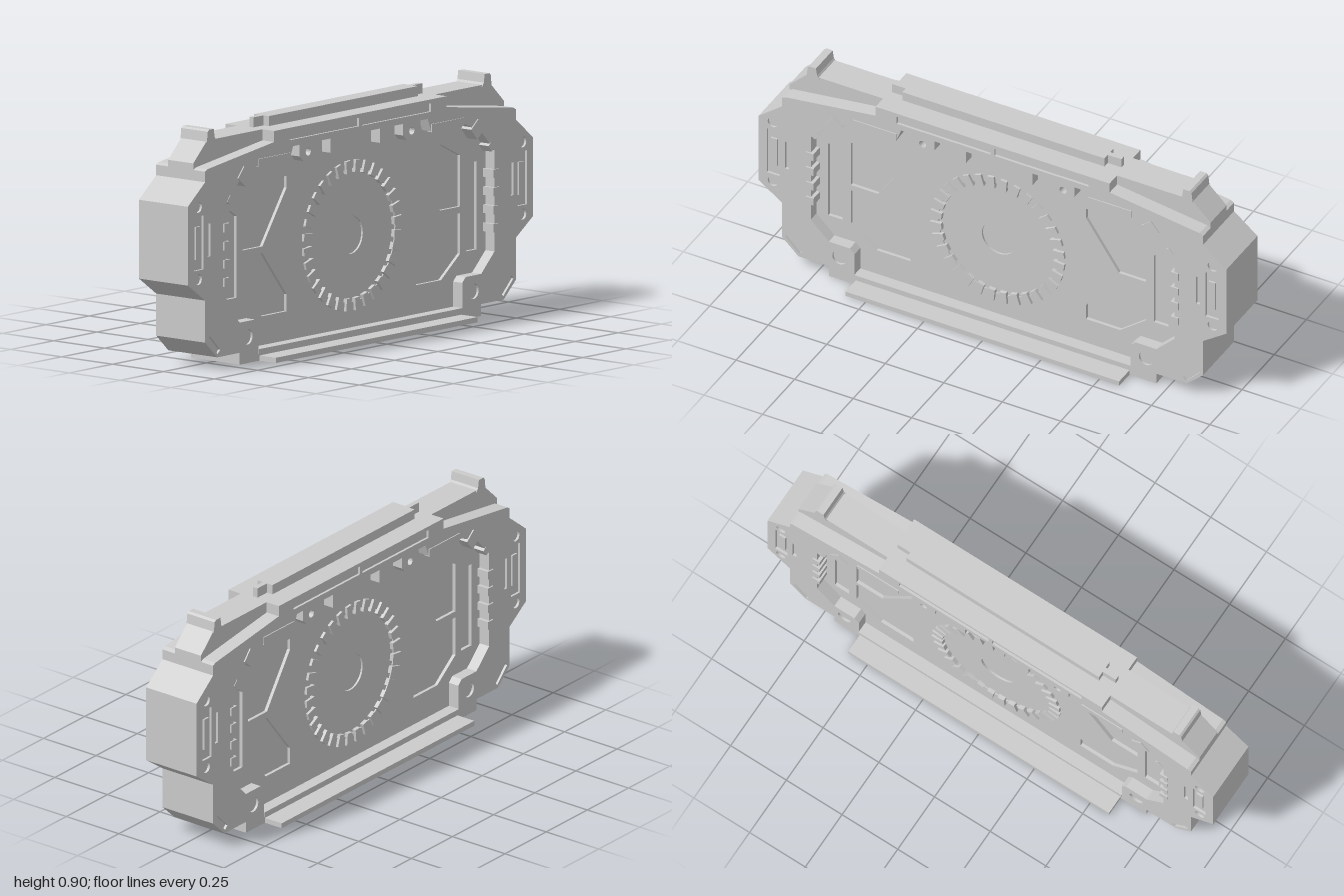
import * as THREE from 'three';

const grey = new THREE.MeshStandardMaterial({ color: 0xcccccc, flatShading: true });
const vec = (pts) => pts.map(([x, y]) => new THREE.Vector2(x, y));
const flip = (pts) => pts.map(([x, y]) => [-x, y]).reverse();
// closed outline from its right half, listed bottom to top
const mirrored = (half) => [...half, ...flip(half)];
const rect = (x0, y0, x1, y1) => [[x0, y0], [x1, y0], [x1, y1], [x0, y1]];
const ngon = (x, y, r, n = 24) => Array.from({ length: n }, (_, i) => {
  const a = (i / n) * Math.PI * 2;
  return [x + r * Math.cos(a), y + r * Math.sin(a)];
});
// rectangle turned about its centre
const turned = (x, y, w, h, a) => rect(-w / 2, -h / 2, w / 2, h / 2).map(([u, v]) =>
  [x + u * Math.cos(a) - v * Math.sin(a), y + u * Math.sin(a) + v * Math.cos(a)]);

function slab(name, outline, z0, z1, holes = []) {
  const shape = new THREE.Shape(vec(outline));
  shape.holes = holes.map((h) => new THREE.Path(vec(h)));
  const geo = new THREE.ExtrudeGeometry(shape, { depth: z1 - z0, bevelEnabled: false });
  geo.translate(0, 0, z0);
  const mesh = new THREE.Mesh(geo, grey);
  mesh.name = name;
  return mesh;
}

function box(name, x0, x1, y0, y1, z0, z1) {
  const mesh = new THREE.Mesh(new THREE.BoxGeometry(x1 - x0, y1 - y0, z1 - z0), grey);
  mesh.position.set((x0 + x1) / 2, (y0 + y1) / 2, (z0 + z1) / 2);
  mesh.name = name;
  return mesh;
}

const both = (list) => list.flatMap((h) => [h, flip(h)]);

// outer silhouette shared by the core and the faces
const side = [[0.70, 0], [0.70, 0.045], [0.83, 0.045], [0.90, 0.11], [0.90, 0.27],
  [1, 0.34], [1, 0.64], [0.90, 0.72]];
const coreOutline = mirrored([...side, [0.90, 0.785], [0.82, 0.862]]);
const faceOutline = mirrored([...side, [0.90, 0.76], [0.885, 0.768], [0.50, 0.82], [0.50, 0.862]]);
const opening = mirrored([[0.59, 0.045], [0.59, 0.14], [0.61, 0.16], [0.70, 0.16], [0.777, 0.235],
  [0.777, 0.62], [0.70, 0.70], [0.61, 0.74], [0.41, 0.74], [0.39, 0.79]]);

function createFace() {
  const face = new THREE.Group();
  const CORE = 0.062, PANEL = 0.075, SKIN = 0.11, FRONT = 0.12;

  // deep frame around the opening, then a thin skin with shallow recesses
  face.add(slab('frame', faceOutline, CORE, SKIN, [opening]));
  const recesses = both([
    rect(0.91, 0.39, 0.965, 0.595),
    rect(0.87, 0.435, 0.887, 0.56),
    ngon(0.94, 0.63, 0.021),
    ngon(0.94, 0.355, 0.021),
    ngon(0.655, 0.10, 0.03),
    turned(0.85, 0.095, 0.085, 0.02, Math.PI / 4),
    rect(0.008, 0.815, 0.41, 0.847),
  ]);
  face.add(slab('frameSkin', faceOutline, SKIN, FRONT, [opening, ...recesses]));

  // inner panel with sunken bays and a sunken disc
  const bays = both([
    [[0.375, 0.155], [0.52, 0.155], [0.63, 0.24], [0.63, 0.395], [0.515, 0.395], [0.375, 0.22]],
    [[0.515, 0.42], [0.63, 0.42], [0.63, 0.615], [0.52, 0.67], [0.375, 0.67], [0.375, 0.625]],
    [[0.665, 0.245], [0.727, 0.245], [0.727, 0.58], [0.70, 0.58], [0.665, 0.555]],
  ]);
  face.add(slab('innerPanel', opening, CORE, PANEL, [...bays, ngon(0, 0.395, 0.255, 64)]));
  face.add(slab('discPlate', ngon(0, 0.395, 0.256, 64), CORE, 0.07, [ngon(0, 0.395, 0.073, 32)]));

  // ring of teeth round the disc
  const teeth = new THREE.Group();
  teeth.name = 'toothRing';
  const count = 32;
  for (let i = 0; i < count; i++) {
    const a = ((i + 0.5) / count) * Math.PI * 2;
    const tooth = new THREE.Mesh(new THREE.BoxGeometry(0.048, 0.028, 0.024), grey);
    tooth.name = 'tooth';
    tooth.position.set(0.263 * Math.cos(a), 0.395 + 0.263 * Math.sin(a), 0.074);
    tooth.rotation.z = a;
    teeth.add(tooth);
  }
  face.add(teeth);

  for (const s of [-1, 1]) {
    const put = (name, pts, z0, z1, holes = []) =>
      face.add(slab(name, s > 0 ? pts : flip(pts), z0, z1, s > 0 ? holes : holes.map(flip)));
    // clips under the top rail
    put('eyeClip', [[0.27, 0.725], [0.33, 0.725], [0.35, 0.745], [0.35, 0.795], [0.25, 0.795], [0.25, 0.745]],
      PANEL, 0.118, [ngon(0.30, 0.757, 0.015, 16)]);
    put('smallClip', rect(0.115, 0.735, 0.17, 0.795), PANEL, 0.118);
    put('cornerClip', turned(0.675, 0.713, 0.055, 0.055, 0.7), PANEL, 0.125);
    put('edgeStrip', rect(0.41, 0.737, 0.595, 0.768), 0.10, 0.124);
    put('edgeTab', turned(0.757, 0.635, 0.03, 0.02, -0.9), PANEL, 0.122);
    // latches on the side edge
    for (let i = 0; i < 4; i++) {
      const y = 0.325 + i * 0.069;
      put('latch', rect(0.763, y - 0.016, 0.796, y + 0.016), PANEL, 0.126);
    }
    // grip bar inside the side recess
    put('gripBar', rect(0.922, 0.43, 0.95, 0.555), SKIN - 0.002, 0.118);
  }

  // foot flange and the lip above it
  face.add(box('footFlange', -0.585, 0.585, 0, 0.02, 0.10, 0.20));
  face.add(box('footLip', -0.59, 0.59, 0.026, 0.045, 0.10, 0.123));
  return face;
}

export function createModel() {
  const model = new THREE.Group();
  model.name = 'panelBlock';
  model.add(slab('core', coreOutline, -0.062, 0.062));

  const front = createFace();
  front.name = 'frontFace';
  const back = createFace();
  back.name = 'backFace';
  back.rotation.y = Math.PI;
  model.add(front, back);

  // rail along the top
  model.add(box('topRail', -0.432, 0.432, 0.85, 0.9, -0.036, 0.036));
  model.add(box('topRailSpine', -0.49, 0.49, 0.85, 0.9, -0.01, 0.01));

  // upright tabs at both shoulders
  const tab = [[0.77, 0.855], [0.825, 0.855], [0.82, 0.895], [0.812, 0.902], [0.785, 0.902], [0.78, 0.87]];
  model.add(slab('leftTab', tab, -0.065, 0.065), slab('rightTab', flip(tab), -0.065, 0.065));
  return model;
}
